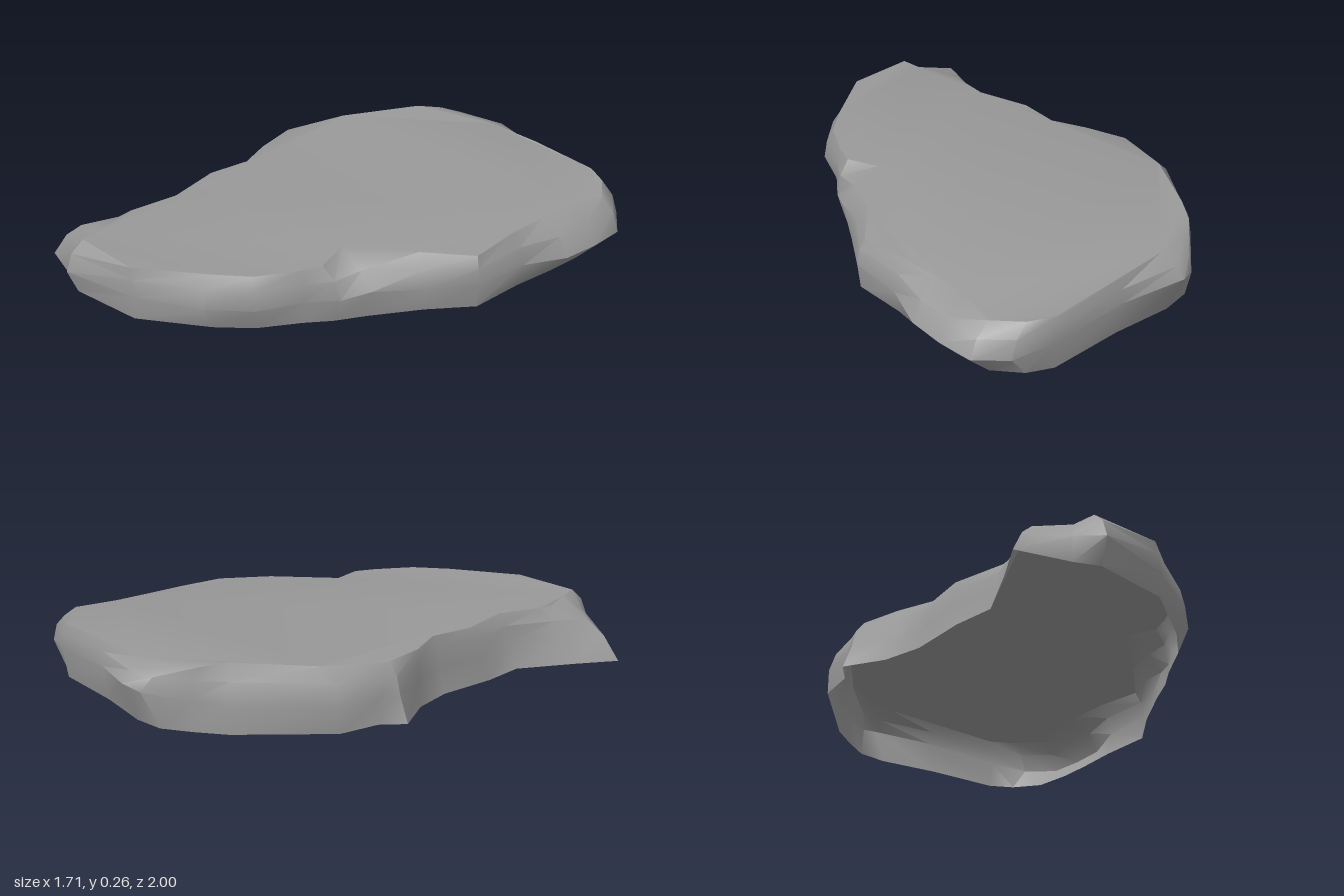
import * as THREE from 'three';
import { toCreasedNormals } from 'three/addons/utils/BufferGeometryUtils.js';

// Stations run clockwise seen from above, starting at the back.
// Widest line of the side wall: x, z, y
const belly = [
  [0.05, -1.0, 0.16], [0.29, -0.9, 0.14], [0.62, -0.84, 0.12], [0.77, -0.77, 0.1],
  [0.85, -0.65, 0.09], [0.84, -0.5, 0.09], [0.81, -0.35, 0.09], [0.72, -0.18, 0.1],
  [0.675, 0.05, 0.1], [0.55, 0.2, 0.1], [0.42, 0.37, 0.12], [0.35, 0.47, 0.1],
  [0.26, 0.56, 0.1], [0.16, 0.73, 0.1], [0.01, 0.84, 0.1], [-0.25, 0.95, 0.1],
  [-0.58, 0.995, 0.1], [-0.66, 0.91, 0.1], [-0.8, 0.81, 0.1], [-0.69, 0.66, 0.1],
  [-0.585, 0.46, 0.1], [-0.6, 0.26, 0.1], [-0.565, 0.05, 0.1], [-0.6, -0.11, 0.1],
  [-0.655, -0.28, 0.1], [-0.62, -0.36, 0.1], [-0.58, -0.52, 0.1], [-0.3, -0.8, 0.1],
  [-0.18, -0.88, 0.12], [-0.03, -0.98, 0.14],
];
// Rim of the flat top: x, z, y
const rim = [
  [0.05, -0.89, 0.23], [0.29, -0.87, 0.23], [0.6, -0.83, 0.22], [0.69, -0.77, 0.22],
  [0.76, -0.66, 0.215], [0.7, -0.5, 0.22], [0.68, -0.35, 0.22], [0.66, -0.18, 0.22],
  [0.65, 0.03, 0.21], [0.48, 0.17, 0.225], [0.24, 0.34, 0.23], [0.27, 0.48, 0.225],
  [0.23, 0.56, 0.225], [0.13, 0.7, 0.225], [0.0, 0.79, 0.225], [-0.27, 0.945, 0.22],
  [-0.56, 0.92, 0.22], [-0.57, 0.84, 0.21], [-0.59, 0.74, 0.2], [-0.6, 0.64, 0.21],
  [-0.54, 0.45, 0.22], [-0.57, 0.22, 0.22], [-0.53, 0.05, 0.22], [-0.58, -0.1, 0.215],
  [-0.6, -0.28, 0.22], [-0.57, -0.36, 0.22], [-0.49, -0.52, 0.235], [-0.27, -0.77, 0.26],
  [-0.2, -0.85, 0.245], [-0.12, -0.885, 0.235],
];
// How far the foot tucks under (positive) or flares out (negative)
const tuck = [
  0.6, 0.8, 1, 1, 1, 0.6, 0.6, 0.4, 0.3, 0.3, 0.15, 0.4, 0.7, 1, 0.8, 0.6,
  0.5, 0, -0.3, -0.7, -0.8, -0.8, -0.8, -0.8, -0.7, 0, 0, 0, 0.2, 0.5,
];

function createSlab() {
  const n = belly.length;
  const mix = (a, b, tx, ty) => new THREE.Vector3(
    a[0] + (b[0] - a[0]) * tx, a[2] + (b[2] - a[2]) * ty, a[1] + (b[1] - a[1]) * tx);
  const foot = belly.map((p, i) => mix(p, rim[i], tuck[i], 0).setY(0));
  const waist = belly.map((p) => mix(p, p, 0, 0));
  const shoulder = belly.map((p, i) => mix(p, rim[i], 0.33, 0.6));
  const top = rim.map((p) => mix(p, p, 0, 0));
  const rings = [foot, waist, shoulder, top];
  const pos = [];
  const tri = (a, b, c) => [a, b, c].forEach((v) => pos.push(v.x, v.y, v.z));

  // Side wall
  for (let r = 0; r < rings.length - 1; r++) {
    for (let i = 0; i < n; i++) {
      const j = (i + 1) % n;
      tri(rings[r][i], rings[r + 1][i], rings[r][j]);
      tri(rings[r][j], rings[r + 1][i], rings[r + 1][j]);
    }
  }
  // Flat top, wound to face up; the underside stays open
  const flat = top.map((v) => new THREE.Vector2(v.x, v.z));
  for (const [a, b, c] of THREE.ShapeUtils.triangulateShape(flat, [])) {
    const up = THREE.ShapeUtils.area([flat[a], flat[b], flat[c]]) < 0;
    if (up) tri(top[a], top[b], top[c]);
    else tri(top[a], top[c], top[b]);
  }
  const geometry = new THREE.BufferGeometry();
  geometry.setAttribute('position', new THREE.Float32BufferAttribute(pos, 3));
  return toCreasedNormals(geometry, 0.6);
}

export function createModel() {
  const stone = new THREE.MeshStandardMaterial({ color: 0x999999, side: THREE.DoubleSide });
  stone.name = 'stone grey';
  const slab = new THREE.Mesh(createSlab(), stone);
  slab.name = 'rockSlab';
  const group = new THREE.Group();
  group.name = 'flatRock';
  group.add(slab);
  return group;
}
